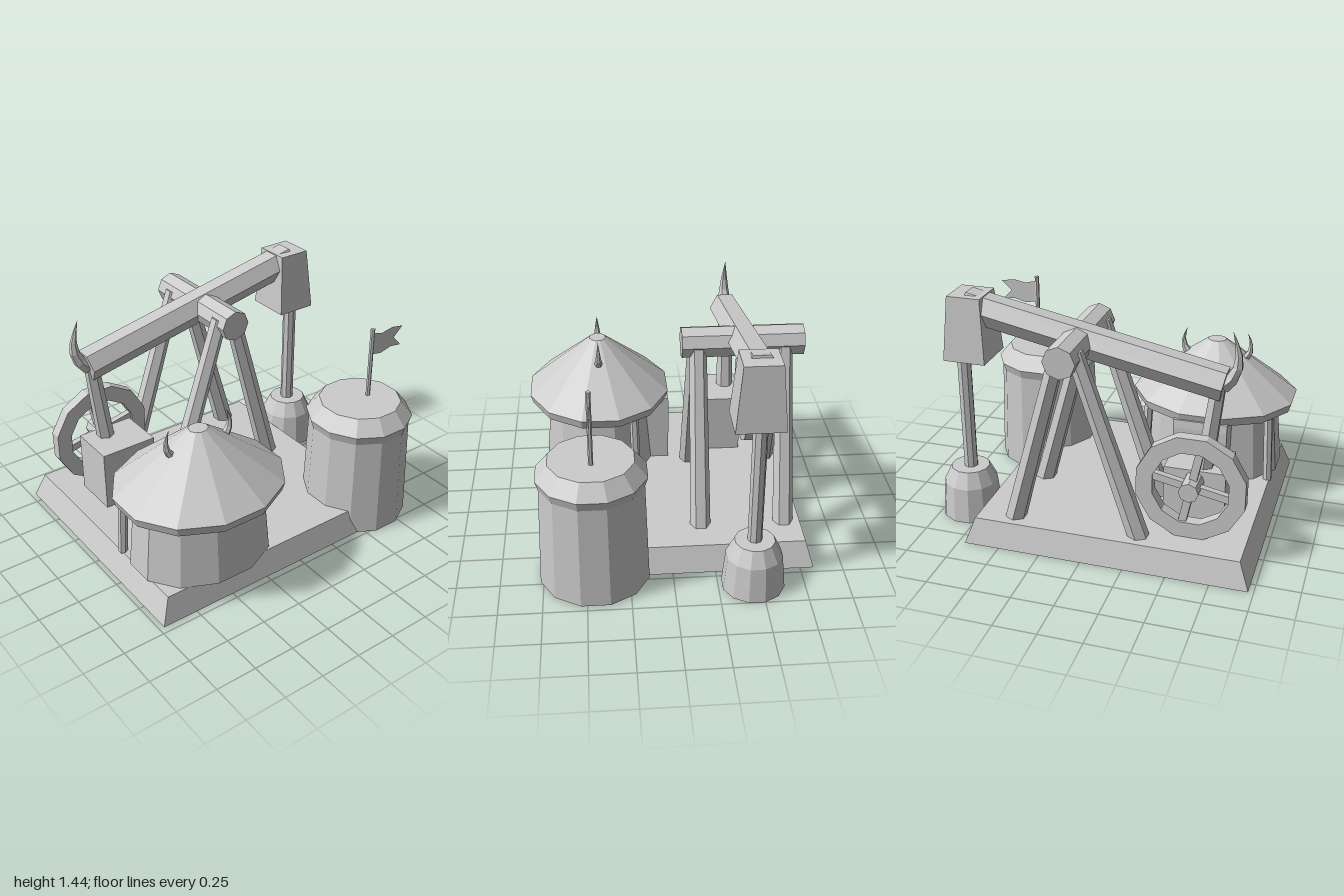
import * as THREE from 'three';

const V = (x, y, z) => new THREE.Vector3(x, y, z);

export function createModel() {
  const group = new THREE.Group();
  const stone = new THREE.MeshStandardMaterial({ color: 0xcccccc, flatShading: true, side: THREE.DoubleSide });
  stone.name = 'plain grey';

  const add = (name, geometry, x = 0, y = 0, z = 0) => {
    const mesh = new THREE.Mesh(geometry, stone);
    mesh.name = name;
    mesh.position.set(x, y, z);
    group.add(mesh);
    return mesh;
  };

  // Faceted turned body; profile is [distance to flat side, height]
  const turned = (name, profile, x, z, sides = 12) => {
    const k = 1 / Math.cos(Math.PI / sides);
    const pts = profile.map(([r, y]) => new THREE.Vector2(r * k, y));
    const geo = new THREE.LatheGeometry(pts, sides);
    geo.rotateY(Math.PI / sides);
    return add(name, geo, x, 0, z);
  };

  // Straight bar between two points
  const bar = (name, a, b, rA, rB, sides = 6) => {
    const d = b.clone().sub(a);
    const mesh = add(name, new THREE.CylinderGeometry(rB, rA, d.length(), sides));
    mesh.position.copy(a).addScaledVector(d, 0.5);
    mesh.quaternion.setFromUnitVectors(V(0, 1, 0), d.normalize());
    return mesh;
  };

  // Box whose four sides slope between a lower and an upper rectangle [x0, x1, z0, z1]
  const tapered = (name, y0, low, y1, high) => {
    const ring = (y, [x0, x1, z0, z1]) => [x0, y, z1, x1, y, z1, x1, y, z0, x0, y, z0];
    const geo = new THREE.BufferGeometry();
    geo.setAttribute('position', new THREE.Float32BufferAttribute([...ring(y0, low), ...ring(y1, high)], 3));
    const index = [4, 5, 6, 4, 6, 7];
    for (let i = 0; i < 4; i++) {
      const j = (i + 1) % 4;
      index.push(i, j, j + 4, i, j + 4, i + 4);
    }
    geo.setIndex(index);
    const flat = geo.toNonIndexed();
    flat.computeVertexNormals();
    return add(name, flat);
  };

  // Curved horn: a tapering tube that closes to a point
  const horn = (name, points, radius) => {
    const curve = new THREE.CatmullRomCurve3(points);
    const steps = 5, sides = 6;
    const geo = new THREE.TubeGeometry(curve, steps, radius, sides, false);
    const pos = geo.attributes.position;
    const p = V(0, 0, 0);
    for (let i = 0; i <= steps; i++) {
      const c = curve.getPointAt(i / steps);
      for (let j = 0; j <= sides; j++) {
        const n = i * (sides + 1) + j;
        p.fromBufferAttribute(pos, n).sub(c).multiplyScalar(1 - i / steps).add(c);
        pos.setXYZ(n, p.x, p.y, p.z);
      }
    }
    geo.computeVertexNormals();
    return add(name, geo);
  };

  // Base, open underneath
  tapered('base', 0, [-0.97, 0.71, -0.83, 0.71], 0.155, [-0.91, 0.655, -0.785, 0.665]);

  // Round hut with a broad roof
  const hutX = -0.503, hutZ = 0.39;
  turned('hutWall', [[0.425, 0.155], [0.385, 0.6]], hutX, hutZ).scale.z = 0.82;
  turned('hutRoof', [[0.38, 0.575], [0.48, 0.575], [0.497, 0.63], [0.056, 0.965], [0, 0.965]], hutX, hutZ).scale.z = 0.885;
  for (const s of [-1, 1]) {
    horn('roofHorn', [V(hutX + s * 0.16, 0.83, hutZ), V(hutX + s * 0.205, 0.89, hutZ),
      V(hutX + s * 0.212, 0.95, hutZ), V(hutX + s * 0.19, 1.02, hutZ)], 0.032);
    bar('hutPost', V(hutX + s * 0.395, 0.15, 0.17), V(hutX + s * 0.375, 0.6, 0.18), 0.028, 0.028);
  }

  // Door block at the rear of the hut, with chamfered top edge
  const doorShape = new THREE.Shape([[0.05, 0.59], [-0.15, 0.59], [-0.15, 0.155], [0.05, 0.155], [0.055, 0.54]]
    .map(([x, y]) => new THREE.Vector2(x, y)));
  const door = new THREE.ExtrudeGeometry(doorShape, { depth: 0.33, bevelEnabled: false });
  door.rotateY(Math.PI / 2);
  add('hutDoor', door, -0.67, 0, 0);

  // Storage tank with shoulder, pole and pennant
  turned('tank', [[0.315, 0], [0.295, 0.635], [0.312, 0.69], [0.24, 0.78], [0, 0.78]], 0.645, 0.453);
  bar('flagPole', V(0.71, 0.77, 0.453), V(0.71, 1.23, 0.453), 0.014, 0.014);
  const flag = new THREE.ShapeGeometry(new THREE.Shape(
    [[0.71, 1.06], [0.79, 1.045], [0.87, 1.065], [0.95, 1.055], [0.89, 1.12], [0.955, 1.18], [0.87, 1.195], [0.79, 1.18], [0.71, 1.2]]
      .map(([x, y]) => new THREE.Vector2(x, y))));
  add('flag', flag, 0, 0, 0.453);

  // A-frames and the pivot beam across them
  for (const z of [-0.185, -0.685]) {
    for (const s of [-1, 1]) {
      bar('frameLeg', V(0.065 + s * 0.375, 0.14, z), V(0.1 + s * 0.045, 1.23, z), 0.062, 0.049);
    }
  }
  bar('pivotBeam', V(0.107, 1.205, -0.8), V(0.107, 1.205, -0.09), 0.094, 0.094, 8);

  // Rocking beam, tapered head and end horn
  const beamZ = -0.452;
  bar('rockingBeam', V(-0.72, 1.047, beamZ), V(0.777, 1.352, beamZ), 0.098, 0.098);
  tapered('beamHead', 1.04, [0.632, 0.885, -0.585, -0.307], 1.42, [0.656, 0.855, -0.553, -0.342]);
  horn('beamHorn', [V(-0.71, 1.04, beamZ), V(-0.775, 1.11, beamZ), V(-0.79, 1.22, beamZ), V(-0.752, 1.355, beamZ)], 0.05);

  // Pump rod and wellhead
  bar('pumpRod', V(0.82, 0.28, beamZ), V(0.82, 1.2, beamZ), 0.042, 0.042, 8);
  turned('wellhead', [[0.177, 0], [0.157, 0.215], [0.112, 0.31], [0, 0.31]], 0.823, beamZ);

  // Engine block with its connecting rod
  add('engineBlock', new THREE.BoxGeometry(0.355, 0.38, 0.29), -0.585, 0.342, -0.385);
  bar('connectingRod', V(-0.62, 0.48, beamZ), V(-0.685, 1.02, beamZ), 0.055, 0.045);

  // Flywheel: faceted rim, crossed spokes and hub
  const polygon = (Type, r) => {
    const pts = [];
    for (let i = 0; i < 12; i++) {
      const a = (i + 0.5) * Math.PI / 6;
      pts.push(new THREE.Vector2(Math.cos(a) * r, Math.sin(a) * r));
    }
    return new Type(pts);
  };
  const rim = polygon(THREE.Shape, 0.322);
  rim.holes.push(polygon(THREE.Path, 0.225));
  const wheelX = -0.585, wheelY = 0.468, wheelZ = -0.598;
  add('wheelRim', new THREE.ExtrudeGeometry(rim, { depth: 0.07, bevelEnabled: false }), wheelX, wheelY, wheelZ - 0.035);
  for (let i = 0; i < 2; i++) {
    const spoke = add('wheelSpoke', new THREE.BoxGeometry(0.48, 0.045, 0.04), wheelX, wheelY, wheelZ);
    spoke.rotation.z = 0.2 + i * Math.PI / 2;
  }
  bar('wheelHub', V(wheelX, wheelY, -0.677), V(wheelX, wheelY, -0.5), 0.058, 0.058, 8);

  return group;
}
